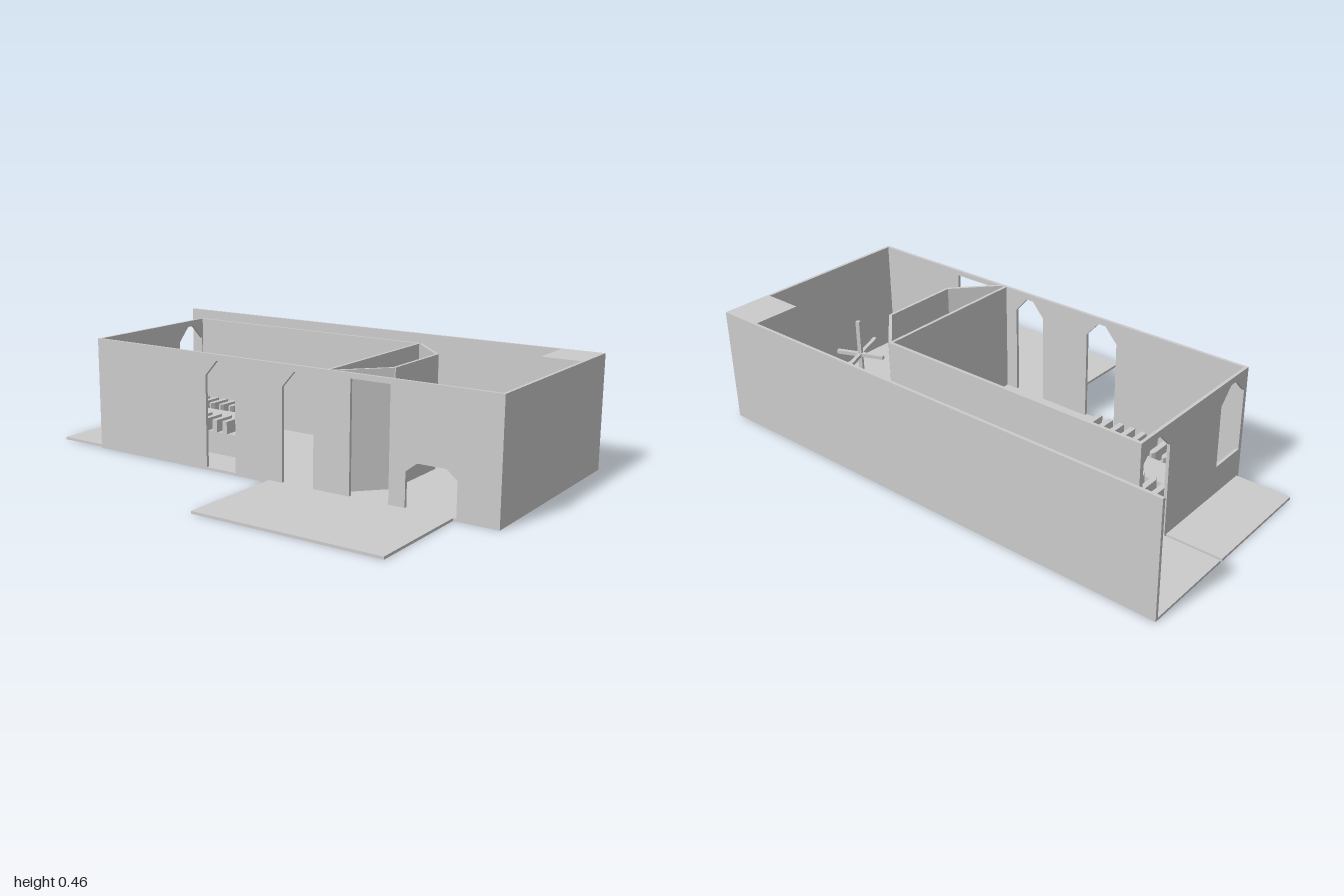
import * as THREE from 'three';

const H = 0.455, T = 0.012, FLOOR = 0.01;
const mat = new THREE.MeshStandardMaterial({ color: 0xcccccc, flatShading: true });

function add(parent, name, geo) {
  const mesh = new THREE.Mesh(geo, mat);
  mesh.name = name;
  parent.add(mesh);
  return mesh;
}

// Box given by its plan limits and its bottom and top
function box(parent, name, x0, x1, y0, y1, z0, z1) {
  const m = add(parent, name, new THREE.BoxGeometry(x1 - x0, y1 - y0, z1 - z0));
  m.position.set((x0 + x1) / 2, (y0 + y1) / 2, (z0 + z1) / 2);
  return m;
}

const polygon = (pts, Type = THREE.Shape) => new Type(pts.map(([x, y]) => new THREE.Vector2(x, y)));

// Upright wall along a plan line, with openings cut through it
function wall(parent, name, [x0, z0], [x1, z1], openings = []) {
  const len = Math.hypot(x1 - x0, z1 - z0);
  const shape = polygon([[0, 0], [len, 0], [len, H], [0, H]]);
  shape.holes = openings.map(o => polygon(o, THREE.Path));
  const geo = new THREE.ExtrudeGeometry(shape, { depth: T, bevelEnabled: false });
  geo.translate(0, 0, -T / 2);
  const m = add(parent, name, geo);
  m.position.set(x0, 0, z0);
  m.rotation.y = -Math.atan2(z1 - z0, x1 - x0);
  return m;
}

// Opening outlines: pointed with a narrow flat tip, or plain rectangle
function pointed(a, b, bottom = FLOOR, shoulder = 0.37, top = 0.43) {
  const c = (a + b) / 2, f = (b - a) * 0.12;
  return [[a, bottom], [a, shoulder], [c - f, top], [c + f, top], [b, shoulder], [b, bottom]];
}
const rect = (a, b, y0, y1) => [[a, y0], [a, y1], [b, y1], [b, y0]];

export function createModel() {
  const model = new THREE.Group();
  model.name = 'building';

  // Floors, with a narrow slot between the two rear slabs
  const floors = new THREE.Group();
  floors.name = 'floors';
  model.add(floors);
  box(floors, 'mainFloor', -0.213, 0.655, 0, FLOOR, -0.78, 1);
  box(floors, 'rearPorchFloor', -0.2, 0.265, 0, FLOOR, -1, -0.78);
  box(floors, 'corridorFloor', 0.275, 0.655, 0, FLOOR, -1, -0.78);
  box(floors, 'sideTerrace', -0.66, -0.213, 0, FLOOR, 0.07, 0.83);

  // Outer walls
  const walls = new THREE.Group();
  walls.name = 'walls';
  model.add(walls);
  const L = -0.207, B = -0.774, R = 0.439, F = 0.325;
  const at = z => z + 0.78;
  wall(walls, 'leftWall', [L, -0.78], [L, 1], [
    pointed(at(-0.225), at(-0.085)),
    pointed(at(0.13), at(0.267)),
    rect(at(0.42), at(0.58), FLOOR, 0.435),
    [[at(0.645), FLOOR], [at(0.645), 0.14], [at(0.69), 0.175],
      [at(0.8), 0.175], [at(0.842), 0.14], [at(0.842), FLOOR]],
  ]);
  wall(walls, 'frontWall', [-0.213, 0.994], [0.655, 0.994]);
  wall(walls, 'rightWall', [0.649, -1], [0.649, 1]);
  box(walls, 'cornerBlock', 0.45, 0.655, 0, H, 0.83, 1);

  // Hall walls: one rear window and one rear door
  wall(walls, 'hallRearWall', [-0.213, B], [0.445, B], [
    pointed(0.018, 0.17, 0.125),
    pointed(0.488, 0.64),
  ]);
  wall(walls, 'hallRightWall', [R, -0.78], [R, 0.33]);
  wall(walls, 'hallFrontWall', [-0.213, F], [0.445, F]);

  // Three-sided bay in front of the hall
  const bay = [[-0.207, 0.342], [-0.042, 0.494], [0.274, 0.494], [0.439, 0.33]];
  for (let i = 0; i < 3; i++) wall(walls, 'bayWall', bay[i], bay[i + 1]);

  // Long table with ten seats on each side, on a low platform
  const seating = new THREE.Group();
  seating.name = 'seating';
  model.add(seating);
  box(seating, 'platform', -0.04, 0.275, FLOOR, 0.1, -0.768, -0.22);
  box(seating, 'table', 0.055, 0.17, 0.1, 0.13, -0.745, -0.25);
  const seatShape = polygon([[0, -0.011], [0.09, -0.011], [0.105, -0.004],
    [0.105, 0.004], [0.09, 0.011], [0, 0.011]]);
  const seatGeo = new THREE.ExtrudeGeometry(seatShape, { depth: 0.05, bevelEnabled: false });
  seatGeo.rotateX(-Math.PI / 2);
  for (const side of [-1, 1]) {
    for (let i = 0; i < 10; i++) {
      const seat = add(seating, 'seat', seatGeo);
      seat.position.set(0.1175 + side * 0.1625, 0.1, -0.72 + i * 0.05);
      if (side > 0) seat.rotation.y = Math.PI;
    }
  }

  // Pole frame in the front yard: a long bar with two cross bars on posts
  const frame = new THREE.Group();
  frame.name = 'poleFrame';
  frame.position.set(0.232, 0, 0.73);
  frame.rotation.y = 0.386;
  model.add(frame);
  const b = 0.008;
  box(frame, 'longBar', -0.145, 0.205, 0.185, 0.2, -b, b);
  box(frame, 'largeCrossBar', -b, b, 0.185, 0.2, -0.1, 0.1);
  box(frame, 'smallCrossBar', 0.175 - b, 0.175 + b, 0.185, 0.2, -0.078, 0.078);
  box(frame, 'tallPost', -b, b, FLOOR, 0.34, -b, b);
  box(frame, 'shortPost', 0.175 - b, 0.175 + b, FLOOR, 0.2, -b, b);

  return model;
}
